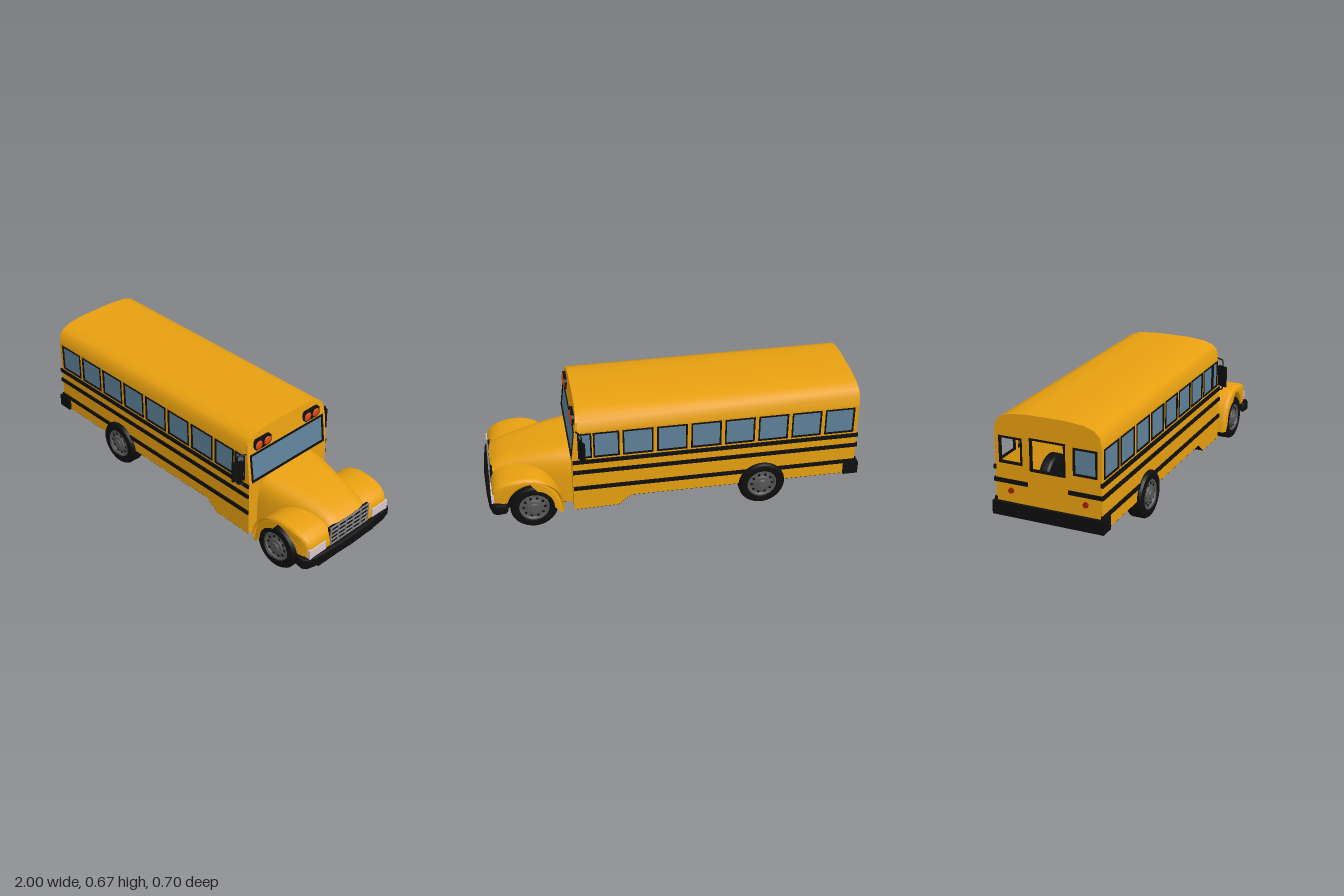
import * as THREE from 'three';
import { toCreasedNormals } from 'three/addons/utils/BufferGeometryUtils.js';

const mat = (name, hex, side = THREE.FrontSide) => {
  const m = new THREE.MeshStandardMaterial({ color: hex, side });
  m.name = name;
  return m;
};

export function createModel() {
  const bus = new THREE.Group();
  bus.name = 'bus';
  const yellow = mat('yellowPaint', 0xe8a010);
  const black = mat('blackTrim', 0x0e0e0e);
  const glass = mat('windowGlass', 0x5f8199);
  const orange = mat('orangeLamp', 0xd8480f);
  const lampWhite = mat('headlightWhite', 0xd6c6cd);
  const chrome = mat('grilleGrey', 0x808080);
  const rimGrey = mat('rimGrey', 0x575757);
  const red = mat('redLamp', 0xa01c0c);

  const add = (name, geo, material) => {
    const m = new THREE.Mesh(geo, material);
    m.name = name;
    bus.add(m);
    return m;
  };
  // Reflect a geometry across z = 0, keeping its faces outward
  const mirrored = (geo) => {
    const g = geo.index ? geo.toNonIndexed() : geo.clone();
    g.scale(1, 1, -1);
    for (const key of ['position', 'normal']) {
      const a = g.attributes[key];
      for (let i = 0; i < a.count; i += 3) {
        const p = [a.getX(i + 1), a.getY(i + 1), a.getZ(i + 1)];
        a.setXYZ(i + 1, a.getX(i + 2), a.getY(i + 2), a.getZ(i + 2));
        a.setXYZ(i + 2, ...p);
      }
    }
    return g;
  };
  const addPair = (name, geo, material) => {
    add(name + 'Right', geo, material);
    add(name + 'Left', mirrored(geo), material);
  };
  // Box given by its limits
  const box = (x0, x1, y0, y1, z0, z1) =>
    new THREE.BoxGeometry(x1 - x0, y1 - y0, z1 - z0)
      .translate((x0 + x1) / 2, (y0 + y1) / 2, (z0 + z1) / 2);
  const poly = (pts) => new THREE.Shape(pts.map(([x, y]) => new THREE.Vector2(x, y)));
  const rect = (x0, x1, y0, y1) => poly([[x0, y0], [x1, y0], [x1, y1], [x0, y1]]);
  const ring = (x0, x1, y0, y1, t) => {
    const s = rect(x0, x1, y0, y1);
    s.holes.push(rect(x0 + t, x1 - t, y0 + t, y1 - t));
    return s;
  };
  const extrude = (shape, depth, opts = {}) =>
    new THREE.ExtrudeGeometry(shape, { depth, bevelEnabled: false, curveSegments: 16, ...opts });
  // Turn a drawing to face +x and lean it with the windscreen
  const lean = (y) => 0.545 - 0.12 * (y - 0.39);
  const toFront = (geo, offset) => {
    geo.rotateY(Math.PI / 2);
    const p = geo.attributes.position;
    for (let i = 0; i < p.count; i++) p.setX(i, p.getX(i) + lean(p.getY(i)) + offset);
    geo.computeVertexNormals();
    return geo;
  };
  const toRear = (geo, x) => geo.rotateY(-Math.PI / 2).translate(x, 0, 0);

  // Side walls with window openings
  const windows = [];
  for (let i = 0; i < 7; i++) windows.push([-0.958 + 0.1795 * i, -0.798 + 0.1795 * i]);
  windows.push([0.296, 0.432], [0.44, 0.512]);
  const wall = poly([[-0.98, 0.13], [0.24, 0.13], [0.31, 0.075], [0.545, 0.07],
    [0.545, 0.39], [0.526, 0.555], [-0.98, 0.555]]);
  for (const [a, b] of windows) wall.holes.push(rect(a, b, 0.395, 0.546));
  addPair('sideWall', extrude(wall, 0.01).translate(0, 0, 0.275), yellow);
  windows.forEach(([a, b], i) => {
    addPair('sideWindowFrame' + i, extrude(ring(a, b, 0.395, 0.546, 0.008), 0.012).translate(0, 0, 0.276), black);
    addPair('sideWindowGlass' + i, new THREE.ShapeGeometry(rect(a, b, 0.395, 0.546)).translate(0, 0, 0.282), glass);
  });

  // Arched roof
  const half = [[0.285, 0.55], [0.276, 0.61], [0.25, 0.636], [0.2, 0.655], [0.1, 0.665]];
  const arch = [...half, ...half.slice().reverse().map(([z, y]) => [-z, y])];
  const inner = arch.map(([z, y]) => [z * 0.965, y - 0.01]).reverse();
  add('roof', toCreasedNormals(extrude(poly([...arch, ...inner]), 1.49)
    .rotateY(Math.PI / 2).translate(-0.98, 0, 0), 0.7), yellow);

  // Front wall, windscreen
  add('cowl', box(0.53, 0.545, 0.07, 0.39, -0.284, 0.284), yellow);
  const frontWall = poly([[-0.285, 0.385], [0.285, 0.385], ...arch]);
  frontWall.holes.push(rect(-0.26, 0.26, 0.395, 0.543));
  add('frontWall', toFront(extrude(frontWall, 0.012), -0.012), yellow);
  add('windscreenFrame', toFront(extrude(ring(-0.267, 0.267, 0.388, 0.549, 0.01), 0.012), -0.008), black);
  add('windscreen', toFront(new THREE.ShapeGeometry(rect(-0.262, 0.262, 0.392, 0.545)), -0.002), glass);

  // Rear wall with its three windows
  const rearWindows = [[-0.262, -0.135, 0.4, 0.54], [-0.095, 0.095, 0.38, 0.55], [0.135, 0.262, 0.4, 0.54]];
  const rearWall = poly([[-0.285, 0.13], [0.285, 0.13], ...arch]);
  for (const w of rearWindows) rearWall.holes.push(rect(...w));
  add('rearWall', toRear(extrude(rearWall, 0.01), -0.97), yellow);
  rearWindows.forEach((w, i) =>
    add('rearWindowFrame' + i, toRear(extrude(ring(...w, 0.01), 0.014), -0.969), black));
  add('rearWindowGlass', toRear(new THREE.ShapeGeometry(rect(...rearWindows[2])), -0.976), glass);
  addPair('rearStripe', box(-0.987, -0.975, 0.299, 0.32, 0.11, 0.29), black);
  addPair('tailLamp', new THREE.CylinderGeometry(0.014, 0.014, 0.014, 16).rotateZ(Math.PI / 2)
    .translate(-0.983, 0.262, 0.2), red);

  // Side rub rails
  [[0.363, 0.384], [0.299, 0.32], [0.197, 0.218]].forEach(([a, b], i) =>
    addPair('sideStripe' + i, box(-0.985, 0.543, a, b, 0.28, 0.293), black));

  // Underside
  add('floor', extrude(poly([[-0.978, 0.128], [0.239, 0.128], [0.309, 0.073], [0.544, 0.068],
    [0.544, 0.08], [0.314, 0.085], [0.244, 0.14], [-0.978, 0.14]]), 0.568).translate(0, 0, -0.284), black);
  add('chassis', box(0.55, 0.962, 0.07, 0.15, -0.21, 0.21), black);

  // Hood lofted through rounded sections: x, top height, half width
  const stations = [[0.535, 0.39, 0.226], [0.62, 0.381, 0.215], [0.7, 0.369, 0.197], [0.78, 0.354, 0.179],
    [0.86, 0.335, 0.164], [0.91, 0.317, 0.158], [0.945, 0.299, 0.154], [0.965, 0.28, 0.15]];
  const pos = [], idx = [], N = 28, base = 0.08;
  for (const [x, top, w] of stations) {
    for (let j = 0; j <= N; j++) {
      const c = Math.cos(Math.PI * j / N), s = Math.max(0, Math.sin(Math.PI * j / N));
      pos.push(x, base + (top - base) * s ** 0.4, w * Math.sign(c) * Math.abs(c) ** 0.4);
    }
  }
  for (let i = 0; i < stations.length - 1; i++) {
    for (let j = 0; j < N; j++) {
      const a = i * (N + 1) + j, b = a + N + 1;
      idx.push(a, b, a + 1, b, b + 1, a + 1);
    }
  }
  const hood = new THREE.BufferGeometry();
  hood.setAttribute('position', new THREE.Float32BufferAttribute(pos, 3));
  hood.setIndex(idx);
  hood.computeVertexNormals();
  add('hood', hood, yellow);
  const last = (stations.length - 1) * (N + 1);
  const nose = [];
  for (let j = 0; j <= N; j++) nose.push([-pos[(last + j) * 3 + 2], pos[(last + j) * 3 + 1]]);
  add('hoodNose', new THREE.ShapeGeometry(poly(nose)).rotateY(Math.PI / 2).translate(0.965, 0, 0), yellow);

  // Front fenders with wheel arches
  const fender = new THREE.Shape();
  fender.moveTo(0.6, 0.08);
  fender.splineThru([[0.612, 0.15], [0.645, 0.225], [0.70, 0.28], [0.77, 0.304], [0.85, 0.302],
    [0.92, 0.283], [0.958, 0.25], [0.97, 0.2], [0.97, 0.165]].map(([x, y]) => new THREE.Vector2(x, y)));
  fender.lineTo(0.889, 0.165);
  fender.absarc(0.755, 0.125, 0.14, 0.29, Math.PI + 0.32, false);
  fender.lineTo(0.6, 0.08);
  const fenderGeo = extrude(fender, 0.145, { bevelEnabled: true, bevelSize: 0.018, bevelThickness: 0.022,
    bevelOffset: -0.018, bevelSegments: 4 }).translate(0, 0, 0.141);
  const fp = fenderGeo.attributes.position;
  for (let i = 0; i < fp.count; i++) {
    const x = fp.getX(i);
    if (x > 0.85 && fp.getZ(i) > 0.2) fp.setZ(i, fp.getZ(i) - 1.1 * (x - 0.85) ** 2);
  }
  addPair('fender', toCreasedNormals(fenderGeo, 0.7), yellow);
  addPair('headlight', box(0.915, 0.974, 0.168, 0.221, 0.176, 0.293), lampWhite);

  // Grille
  add('grillePanel', box(0.955, 0.968, 0.168, 0.28, -0.145, 0.145), black);
  for (let i = 0; i < 5; i++) {
    const y = 0.175 + i * 0.0255;
    add('grilleBar' + i, box(0.966, 0.974, y - 0.003, y + 0.003, -0.145, 0.145), chrome);
  }
  for (let i = 0; i < 6; i++) {
    const z = -0.14 + i * 0.056;
    add('grillePost' + i, box(0.966, 0.975, 0.172, 0.28, z - 0.003, z + 0.003), chrome);
  }

  // Bumpers
  const edge = [[0.89, 0.3], [0.9, 0.318], [0.95, 0.325], [0.972, 0.31], [0.986, 0.26], [0.996, 0.14]];
  const plan = [...edge, [1, 0], ...edge.slice().reverse().map(([x, z]) => [x, -z]), [0.95, -0.27], [0.95, 0.27]];
  add('frontBumper', toCreasedNormals(extrude(poly(plan), 0.036, { bevelEnabled: true, bevelSize: 0.01,
    bevelThickness: 0.012, bevelOffset: -0.01, bevelSegments: 2 }).rotateX(-Math.PI / 2)
    .translate(0, 0.123, 0), 0.6), black);
  add('rearBumper', box(-1, -0.92, 0.13, 0.2, -0.3, 0.3), black);

  // Warning lamps above the windscreen
  const housing = poly([[-0.058, -0.018], [-0.044, -0.03], [0.044, -0.03], [0.058, -0.018],
    [0.058, 0.02], [0.046, 0.032], [-0.046, 0.032], [-0.058, 0.02]]);
  addPair('warningLampHousing', extrude(housing, 0.03).rotateY(Math.PI / 2).translate(0.502, 0.591, 0.178), black);
  for (const z of [0.148, 0.208]) {
    addPair('warningLamp', new THREE.SphereGeometry(0.0245, 20, 12).scale(0.35, 1, 1)
      .translate(0.531, 0.588, z), orange);
  }

  // Mirrors on looped brackets
  const arm = new THREE.CurvePath();
  const armPts = [[0.52, 0.56, 0.28], [0.5, 0.56, 0.315], [0.495, 0.55, 0.324], [0.495, 0.392, 0.324],
    [0.5, 0.383, 0.315], [0.52, 0.378, 0.28]].map((p) => new THREE.Vector3(...p));
  for (let i = 0; i < armPts.length - 1; i++) arm.add(new THREE.LineCurve3(armPts[i], armPts[i + 1]));
  addPair('mirrorBracket', new THREE.TubeGeometry(arm, 50, 0.004, 6), black);
  addPair('mirror', new THREE.BoxGeometry(0.012, 0.117, 0.058).rotateY(-0.42)
    .translate(0.496, 0.464, 0.322), black);

  // Wheels
  const lathe = (pts) => toCreasedNormals(new THREE.LatheGeometry(
    pts.map(([r, h]) => new THREE.Vector2(r, h)), 40).rotateX(Math.PI / 2), 0.6);
  const tyre = lathe([[0, -0.047], [0.1, -0.047], [0.117, -0.042], [0.125, -0.03], [0.125, 0.03],
    [0.117, 0.042], [0.1, 0.047], [0.083, 0.045], [0.077, 0.025]]);
  const rim = lathe([[0.08, 0.034], [0.078, 0.042], [0.071, 0.042], [0.064, 0.032], [0.046, 0.036],
    [0.042, 0.042], [0.026, 0.044], [0.022, 0.05], [0, 0.051]]);
  for (const [name, x] of [['front', 0.755], ['rear', -0.468]]) {
    const place = (g) => g.clone().translate(x, 0.125, 0.263);
    addPair(name + 'Tyre', place(tyre), black);
    addPair(name + 'Rim', place(rim), rimGrey);
    for (let i = 0; i < 10; i++) {
      const a = i * Math.PI / 5;
      addPair(name + 'RimSlot', place(new THREE.CylinderGeometry(0.007, 0.007, 0.006, 8).rotateX(Math.PI / 2)
        .translate(0.056 * Math.cos(a), 0.056 * Math.sin(a), 0.034)), black);
    }
    add(name + 'Axle', new THREE.CylinderGeometry(0.02, 0.02, 0.46, 12).rotateX(Math.PI / 2)
      .translate(x, 0.125, 0), black);
  }
  return bus;
}
